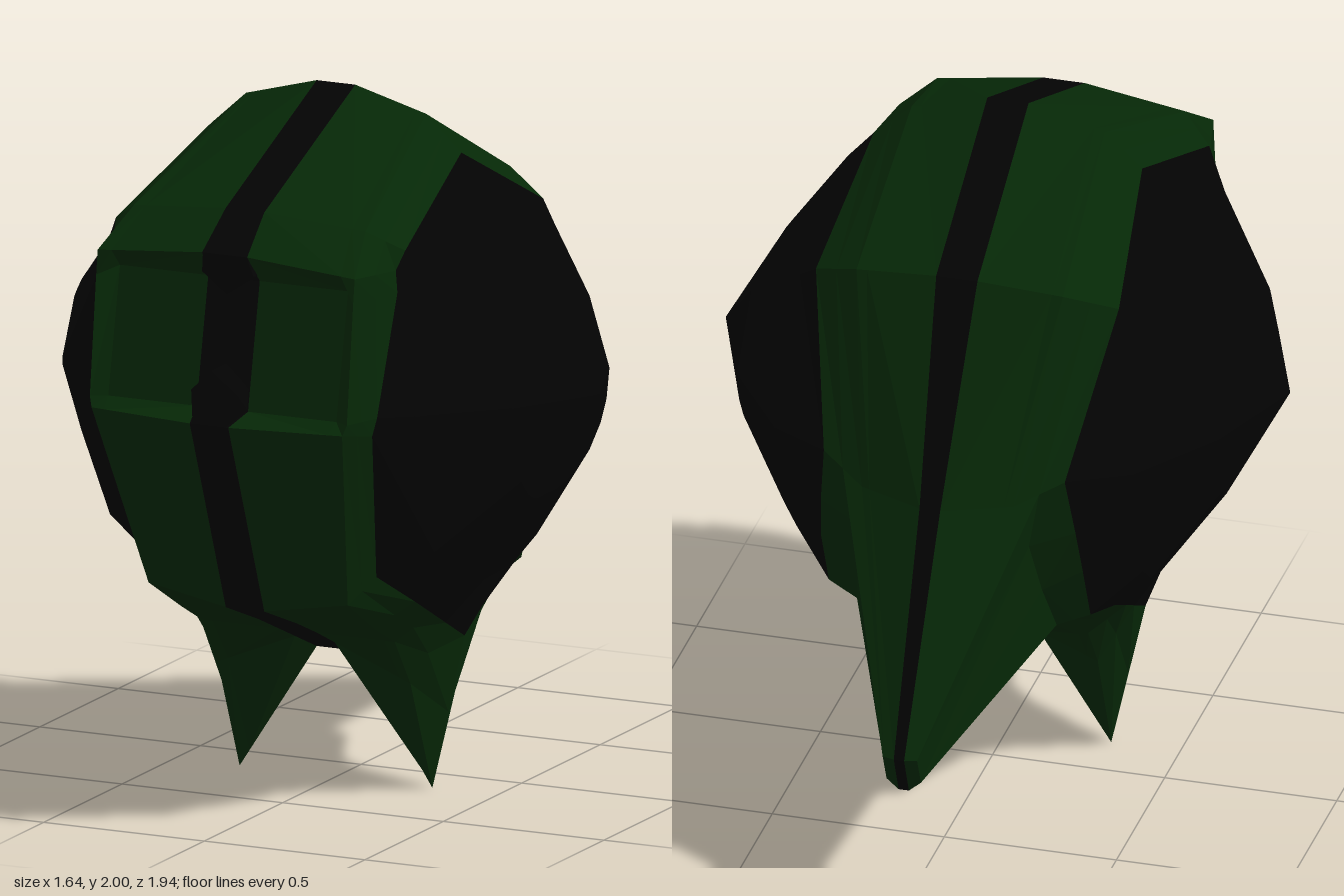
import * as THREE from 'three';
import { ConvexGeometry } from 'three/addons/geometries/ConvexGeometry.js';

const green = new THREE.MeshStandardMaterial({ name: 'darkGreen', color: 0x062807, flatShading: true });
const black = new THREE.MeshStandardMaterial({ name: 'nearBlack', color: 0x030303, flatShading: true });
const v = (x, y, z) => new THREE.Vector3(x, y, z);

// Stations run round the body. Each holds:
// middle y, z and stripe half width | hard edge x, y, z | side panel rim x, y, z
const front = [
  [2.00, 0.16, 0.06, 0.28, 1.94, 0.16, 0.39, 1.84, 0.16],   // crown
  [1.76, 0.74, 0.06, 0.36, 1.73, 0.71, 0.45, 1.67, 0.64],   // brow top
  [1.66, 0.87, 0.07, 0.40, 1.63, 0.86, 0.44, 1.62, 0.68],   // brow lip
  [1.58, 0.81, 0.08, 0.40, 1.56, 0.87, 0.45, 1.56, 0.69],   // face top
  [1.22, 0.885, 0.08, 0.40, 1.22, 0.91, 0.44, 1.22, 0.80],  // face bottom
  [1.19, 0.97, 0.06, 0.39, 1.19, 0.92, 0.43, 1.17, 0.81],   // chin
  [0.61, 0.74, 0.06, 0.31, 0.65, 0.72, 0.36, 0.72, 0.64],   // belly
];

// The belly dips into a curved leg spike, alike in front of and behind its tip
const leg = [0.37, 0.24, 0.14, 0, -0.14, -0.24, -0.37].map((d) => {
  const a = Math.abs(d), z = 0.16 + d;
  const legY = 0.54 * (1 - (1 - a / 0.37) ** 2);
  return [0.37 + 0.43 * a, z, 0.06, 0.30, legY, z, 0.40, 0.45 + 0.45 * a, 0.16 + 0.85 * d];
});

const back = [
  [0.61, -0.40, 0.06, 0.29, 0.65, -0.37, 0.38, 0.68, -0.34],  // tail root below
  [0.37, -0.92, 0.015, 0.05, 0.40, -0.92, 0.38, 0.86, -0.42], // tail end below
  [0.49, -0.97, 0.015, 0.05, 0.49, -0.96, 0.37, 1.00, -0.46], // tail end above
  [1.12, -0.65, 0.03, 0.22, 1.12, -0.57, 0.35, 1.18, -0.50],  // tail root above
  [1.71, -0.37, 0.06, 0.30, 1.68, -0.34, 0.44, 1.62, -0.26],  // upper back
];

// Full row of points from the centre line out to the side's pole
const CY = 1.19, CZ = 0.16;
const rows = [...front, ...leg, ...back].map(([y, z, s, ex, ey, ez, rx, ry, rz], i) => {
  const mid = v(0, y, z), stripe = v(s, y, z), edge = v(ex, ey, ez), rim = v(rx, ry, rz);
  const inner = stripe.clone().lerp(edge, 0.87);
  if (i === 3 || i === 4) inner.set(0.355, y, z); // recessed face panel
  const shoulder = edge.clone().lerp(rim, 0.5);
  if (i === 15) shoulder.set(0.27, 0.80, -0.45);  // where the tail meets the body
  if (i === 16) shoulder.set(0.25, 0.97, -0.515);
  const dy = ry - CY, dz = rz - CZ, r = Math.hypot(dy, dz);
  const ring = (x, radius) => v(x, CY + dy / r * radius, CZ + dz / r * radius);
  const swell = 0.055 * Math.abs(dz) / r;         // side domes are fuller to front and back
  return [mid, stripe, inner, edge, shoulder, rim,
    ring(0.465 + swell, Math.min(r * 0.87, 0.57)), ring(0.645 + swell, 0.31), v(0.82, CY, CZ)];
});

// Skin between two columns of points; side is 1 or -1
function skin(from, to, side) {
  const pos = [];
  const tri = (a, b, c) => {
    for (const p of side > 0 ? [a, b, c] : [a, c, b]) pos.push(p.x * side, p.y, p.z);
  };
  rows.forEach((row, i) => {
    const next = rows[(i + 1) % rows.length];
    for (let j = from; j < to; j++) {
      tri(row[j], next[j], next[j + 1]);
      if (j < 7) tri(row[j], next[j + 1], row[j + 1]); // the pole needs one triangle only
    }
  });
  const geo = new THREE.BufferGeometry();
  geo.setAttribute('position', new THREE.Float32BufferAttribute(pos, 3));
  geo.computeVertexNormals();
  return geo;
}

export function createModel() {
  const group = new THREE.Group();
  group.name = 'roundCreature';
  const add = (name, geo, mat) => {
    const mesh = new THREE.Mesh(geo, mat);
    mesh.name = name;
    group.add(mesh);
  };

  // Body halves
  for (const [label, side] of [['left', 1], ['right', -1]]) {
    add(label + 'CentreStripe', skin(0, 1, side), black);
    add(label + 'ShellLegAndTail', skin(1, 5, side), green);
    add(label + 'SidePanel', skin(5, 8, side), black);
  }

  // Small raised nose above the chin
  add('nose', new ConvexGeometry([
    v(-0.08, 1.2, 0.86), v(0.08, 1.2, 0.86), v(-0.05, 1.19, 0.972), v(0.05, 1.19, 0.972),
    v(-0.08, 1.28, 0.84), v(0.08, 1.28, 0.84), v(-0.07, 1.28, 0.94), v(0.07, 1.28, 0.94),
    v(0, 1.345, 0.83), v(0, 1.345, 0.955),
  ]), black);

  // Wedge hanging from the brow
  add('browWedge', new ConvexGeometry([
    v(-0.07, 1.65, 0.866), v(0.07, 1.65, 0.866), v(-0.08, 1.6, 0.85), v(0.08, 1.6, 0.85),
    v(-0.08, 1.6, 0.8), v(0.08, 1.6, 0.8), v(0, 1.545, 0.86), v(0, 1.545, 0.8),
  ]), black);

  return group;
}
